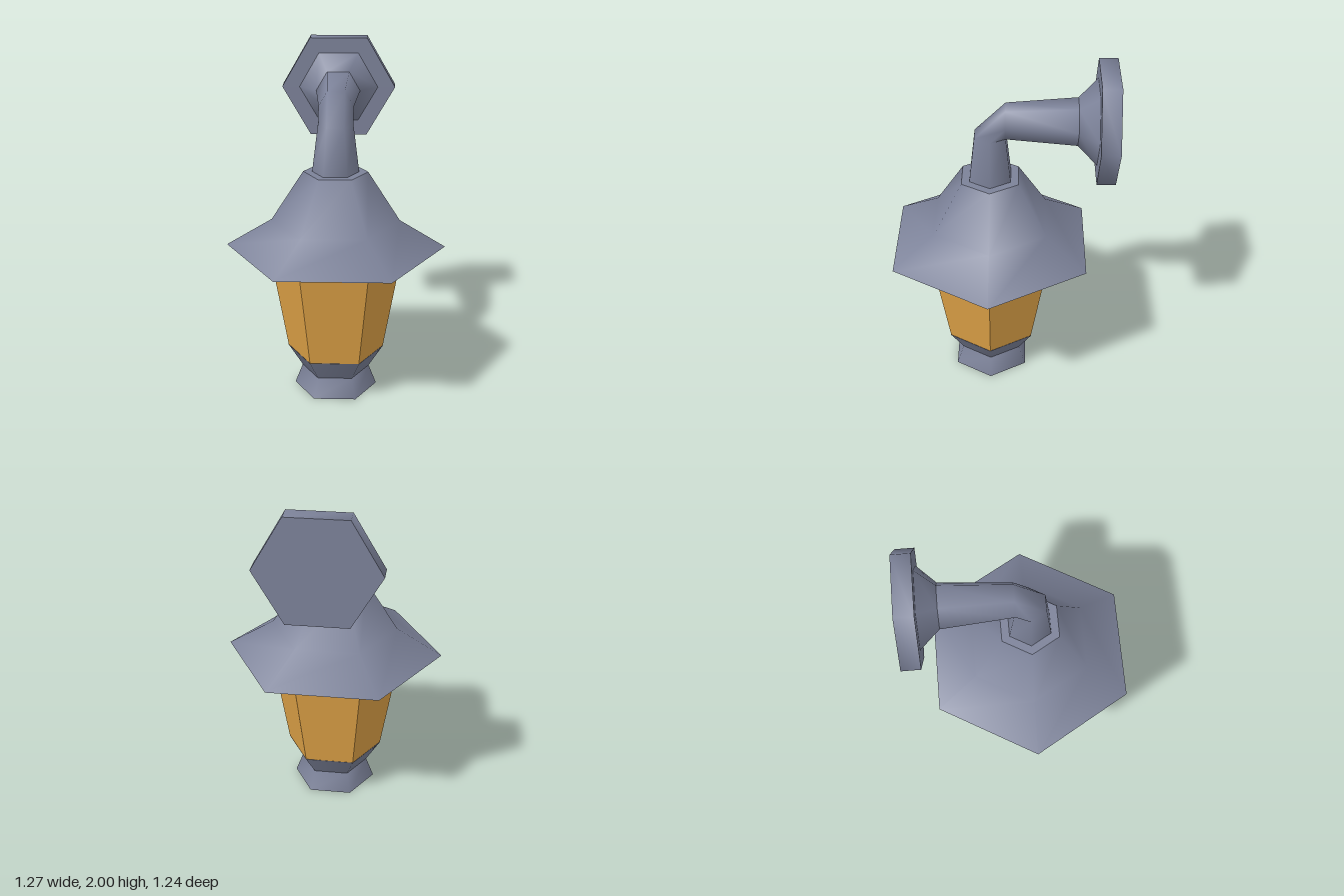
import * as THREE from 'three';
import { mergeGeometries } from 'three/addons/utils/BufferGeometryUtils.js';

const SIDES = 6;
const AXIS_Z = 0.072; // vertical axis of the lantern
const ARM_Y = 1.703;  // horizontal axis of the wall arm

// Skin of hexagonal rings { r, y, z, tilt }, smooth around and along.
function loft(rings) {
  const pos = [], index = [], n = SIDES;
  for (const { r, y, z, tilt } of rings) {
    for (let j = 0; j < n; j++) {
      const a = (j / n) * Math.PI * 2, v = r * Math.sin(a);
      pos.push(r * Math.cos(a), y + v * Math.sin(tilt), z + v * Math.cos(tilt));
    }
  }
  for (let i = 0; i < rings.length - 1; i++) {
    for (let j = 0; j < n; j++) {
      const a = i * n + j, b = i * n + (j + 1) % n;
      index.push(a, a + n, b, a + n, b + n, b);
    }
  }
  const g = new THREE.BufferGeometry();
  g.setAttribute('position', new THREE.Float32BufferAttribute(pos, 3));
  g.setIndex(index);
  g.computeVertexNormals();
  return g;
}

// One loft per pair of rings keeps a hard edge at every ring.
function hardLoft(rings) {
  return mergeGeometries(rings.slice(1).map((ring, i) => loft([rings[i], ring])));
}

const upright = (r, y) => ({ r, y, z: AXIS_Z, tilt: 0 });
const toWall = (r, z) => ({ r, y: ARM_Y, z, tilt: Math.PI / 2 });

export function createModel() {
  const metal = new THREE.MeshStandardMaterial({ color: 0x7c8299 });
  metal.name = 'greyMetal';
  const amber = new THREE.MeshStandardMaterial({ color: 0xe0a347 });
  amber.name = 'amberGlass';

  const group = new THREE.Group();
  group.name = 'wallLantern';
  const add = (name, geometry, material) => {
    const mesh = new THREE.Mesh(geometry, material);
    mesh.name = name;
    group.add(mesh);
  };

  // Hollow waisted foot: inside from the top down, bottom rim, then outside up
  add('foot', hardLoft([
    upright(0, 0.24), upright(0.22, 0.24), upright(0.135, 0.12), upright(0.17, 0),
    upright(0.245, 0), upright(0.2, 0.118), upright(0.286, 0.252), upright(0, 0.252),
  ]), metal);

  // Flat glass panes
  const panes = loft([upright(0.284, 0.252), upright(0.396, 0.896)]).toNonIndexed();
  panes.computeVertexNormals();
  add('glassPanes', panes, amber);

  // Flared shade with flat underside and lid
  add('shade', mergeGeometries([
    loft([upright(0, 0.895), upright(0.635, 0.895)]),
    loft([upright(0.635, 0.895), upright(0.37, 1.055), upright(0.185, 1.345)]),
    loft([upright(0.185, 1.345), upright(0, 1.345)]),
  ]), metal);

  // Stem, elbow and horizontal arm in one bent tube
  add('arm', loft([
    upright(0.134, 1.343), upright(0.1, 1.617), toWall(0.1, -0.013), toWall(0.132, -0.41),
  ]), metal);

  // Flared collar and wall plate
  add('collar', loft([toWall(0.132, -0.41), toWall(0.24, -0.517)]), metal);
  add('wallPlate', hardLoft([
    toWall(0, -0.516), toWall(0.344, -0.516), toWall(0.344, -0.622), toWall(0, -0.622),
  ]), metal);

  return group;
}
